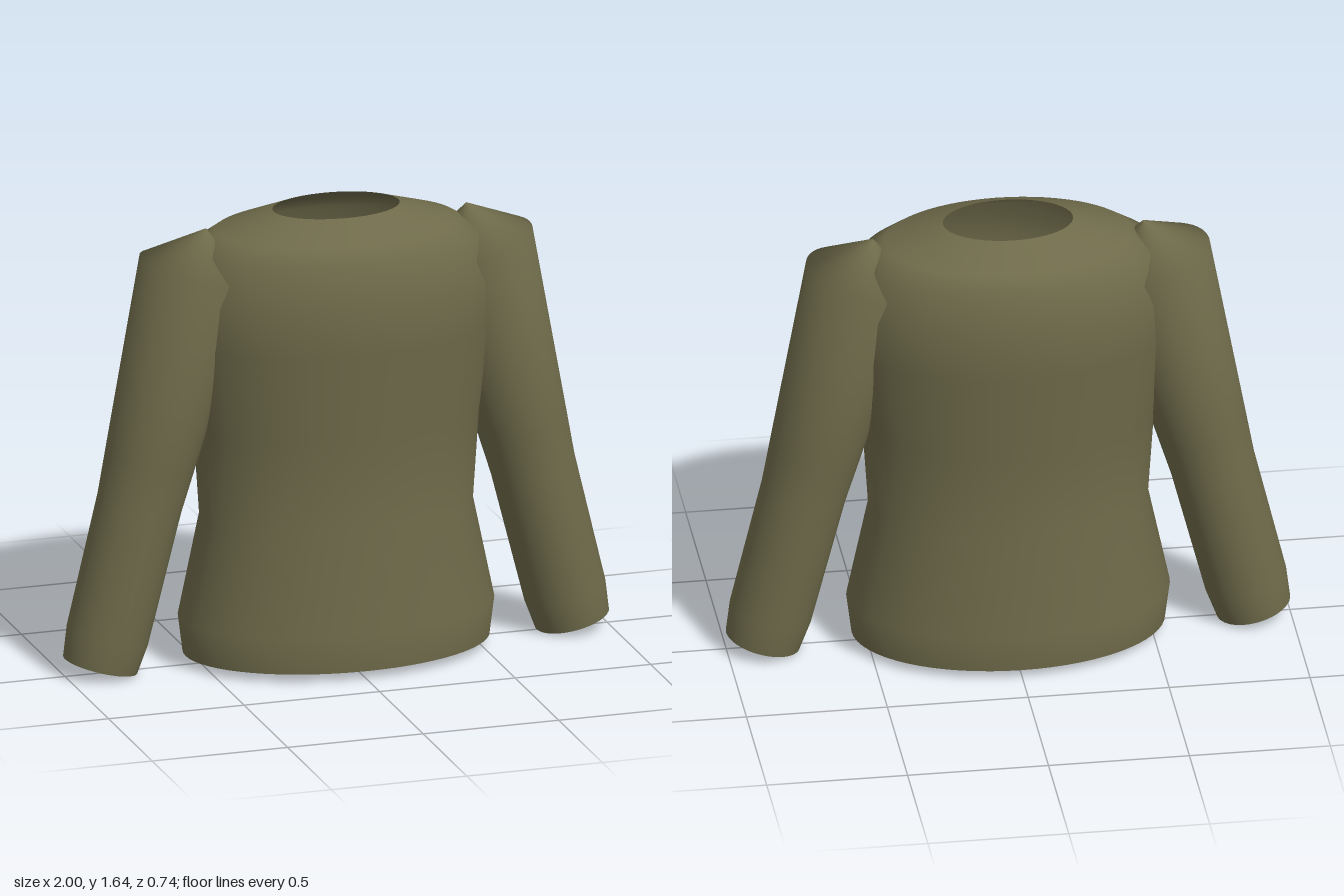
import * as THREE from 'three';

// Smooth open surface of revolution from [radius, height] pairs
function revolve(profile, segments, material, name) {
  const points = profile.map(([r, y]) => new THREE.Vector2(r, y));
  const mesh = new THREE.Mesh(new THREE.LatheGeometry(points, segments), material);
  mesh.name = name;
  return mesh;
}

export function createModel() {
  const group = new THREE.Group();
  group.name = 'sweater';
  const olive = new THREE.MeshStandardMaterial({ color: 0x6e6a4a, side: THREE.DoubleSide });
  olive.name = 'olive cloth';

  // Torso: oval tube, open at the hem and the neck
  const torso = revolve([
    [0.555, 0.035], [0.572, 0.17], [0.495, 0.54], [0.517, 0.87], [0.568, 1.2],
    [0.575, 1.37], [0.52, 1.53], [0.44, 1.58], [0.23, 1.645],
  ], 64, olive, 'torso');
  torso.scale.z = 0.645;
  group.add(torso);

  // Sleeves: tapered tubes, open at the cuff, closed by a shallow cone at the shoulder
  const sleeveProfile = [
    [0.134, 0], [0.147, 0.11], [0.151, 0.6], [0.161, 0.76], [0.205, 1.473], [0, 1.62],
  ];
  for (const side of [1, -1]) {
    const sleeve = revolve(sleeveProfile, 48, olive, side > 0 ? 'leftSleeve' : 'rightSleeve');
    sleeve.position.set(side * 0.87, 0.036, 0);
    sleeve.rotation.z = side * 0.243;
    group.add(sleeve);
  }
  return group;
}
